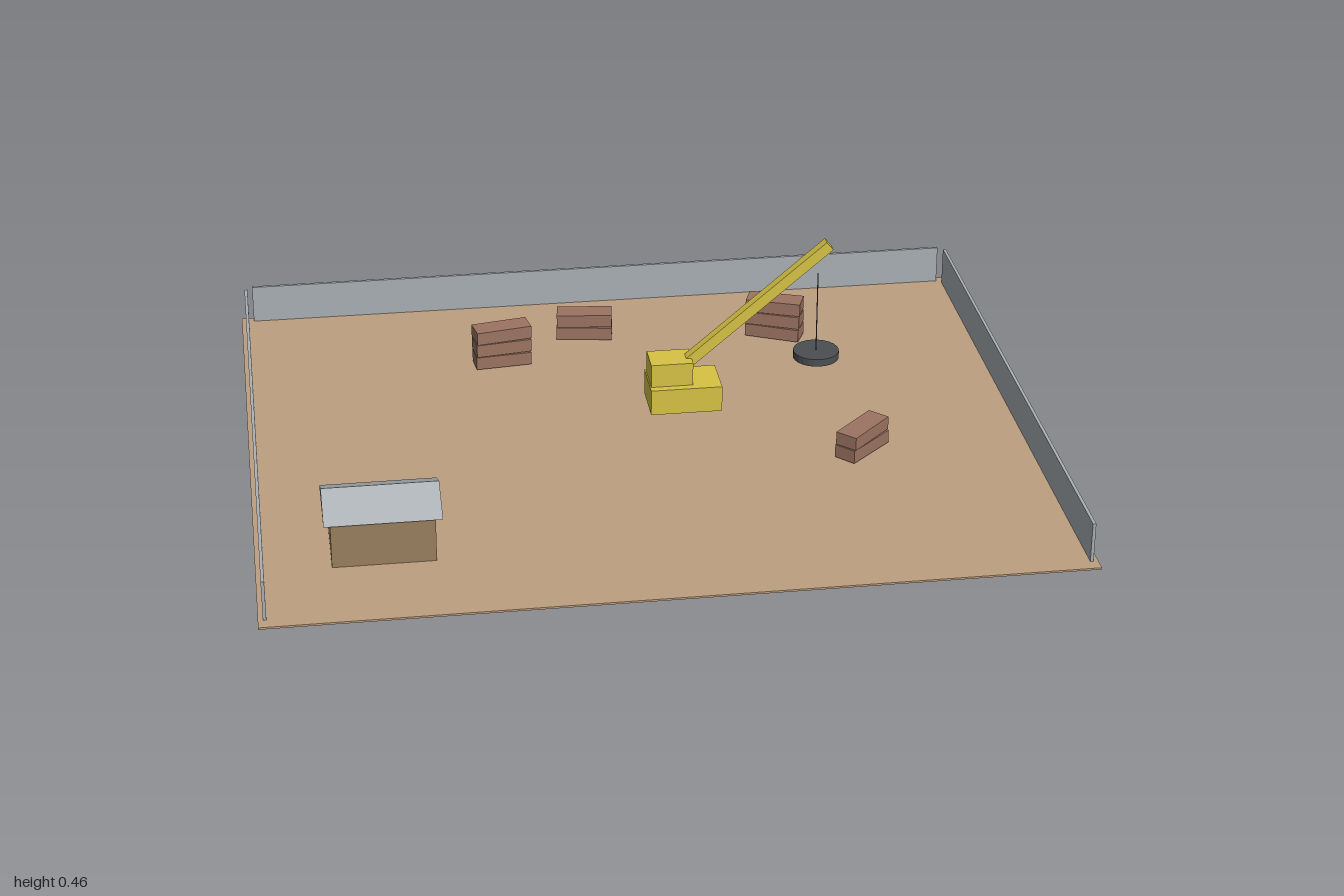
import * as THREE from 'three';

const mat = (color) => new THREE.MeshStandardMaterial({ color, flatShading: true });
const sand = mat(0xbd9f80), steel = mat(0xaab0b4), yellow = mat(0xd6c344);
const rust = mat(0x9c7462), timber = mat(0x99805f), dark = mat(0x4c4f51);

const GROUND = 0.005;

// Adds a named mesh at a position
function add(parent, name, geometry, material, x, y, z) {
  const mesh = new THREE.Mesh(geometry, material);
  mesh.name = name;
  mesh.position.set(x, y, z);
  parent.add(mesh);
  return mesh;
}

// Box given by its minimum and maximum corners
function addBox(parent, name, material, [x0, y0, z0], [x1, y1, z1]) {
  return add(parent, name, new THREE.BoxGeometry(x1 - x0, y1 - y0, z1 - z0), material,
    (x0 + x1) / 2, (y0 + y1) / 2, (z0 + z1) / 2);
}

// Yard floor, fenced on three sides with an open front
function createYard() {
  const yard = new THREE.Group();
  yard.name = 'yard';
  addBox(yard, 'ground', sand, [-1, 0, -0.827], [1, GROUND, 0.827]);
  addBox(yard, 'backFence', steel, [-0.967, GROUND, -0.815], [0.967, 0.108, -0.807]);
  for (const side of [-1, 1]) {
    add(yard, side > 0 ? 'leftFence' : 'rightFence',
      new THREE.BoxGeometry(0.008, 0.103, 1.59), steel, side * 0.984, 0.0565, 0);
  }
  return yard;
}

// Hut with a gabled roof whose ridge runs along x
function createHut() {
  const hut = new THREE.Group();
  hut.name = 'hut';
  addBox(hut, 'hutWalls', timber, [-0.818, GROUND, 0.388], [-0.567, 0.122, 0.576]);
  const gable = new THREE.Shape([
    new THREE.Vector2(-0.105, 0), new THREE.Vector2(0.105, 0), new THREE.Vector2(0, 0.048),
  ]);
  const roof = new THREE.ExtrudeGeometry(gable, { depth: 0.284, bevelEnabled: false });
  roof.rotateY(Math.PI / 2);
  add(hut, 'roof', roof, steel, -0.834, 0.122, 0.482);
  return hut;
}

// Crane with a slanted boom and a hanging magnet
function createCrane() {
  const crane = new THREE.Group();
  crane.name = 'crane';
  crane.position.z = -0.141;
  addBox(crane, 'craneBase', yellow, [0.043, 0.016, -0.064], [0.23, 0.086, 0.064]);
  addBox(crane, 'cab', yellow, [0.046, 0.086, -0.043], [0.156, 0.149, 0.043]);

  const foot = new THREE.Vector2(0.135, 0.125), tip = new THREE.Vector2(0.515, 0.447);
  const span = tip.clone().sub(foot);
  const boom = add(crane, 'boom', new THREE.BoxGeometry(span.length(), 0.028, 0.028), yellow,
    (foot.x + tip.x) / 2, (foot.y + tip.y) / 2, 0);
  boom.rotation.z = span.angle();

  add(crane, 'cable', new THREE.CylinderGeometry(0.0015, 0.0015, 0.225, 6), dark, 0.488, 0.253, 0);
  add(crane, 'magnet', new THREE.CylinderGeometry(0.06, 0.06, 0.02, 24), dark, 0.488, 0.135, 0);
  return crane;
}

// Pile of crushed blocks, each twisted slightly against the one below
function createScrapPile(x, z, angle, layers) {
  const pile = new THREE.Group();
  pile.name = 'scrapPile';
  pile.position.set(x, 0, z);
  pile.rotation.y = angle;
  const block = new THREE.BoxGeometry(0.15, 0.035, 0.06);
  for (let i = 0; i < layers; i++) {
    const mesh = add(pile, 'crushedBlock', block, rust, 0, 0.0265 + i * 0.0375, 0);
    mesh.rotation.y = (i - layers + 1) * 0.04;
  }
  return pile;
}

export function createModel() {
  const model = new THREE.Group();
  model.name = 'scrapyard';
  model.add(createYard(), createHut(), createCrane());
  const piles = [
    [-0.31, -0.452, 0.18, 3],
    [-0.07, -0.588, -0.12, 2],
    [0.447, -0.521, -0.36, 3],
    [0.551, 0.17, 0.79, 2],
  ];
  for (const pile of piles) model.add(createScrapPile(...pile));
  return model;
}
